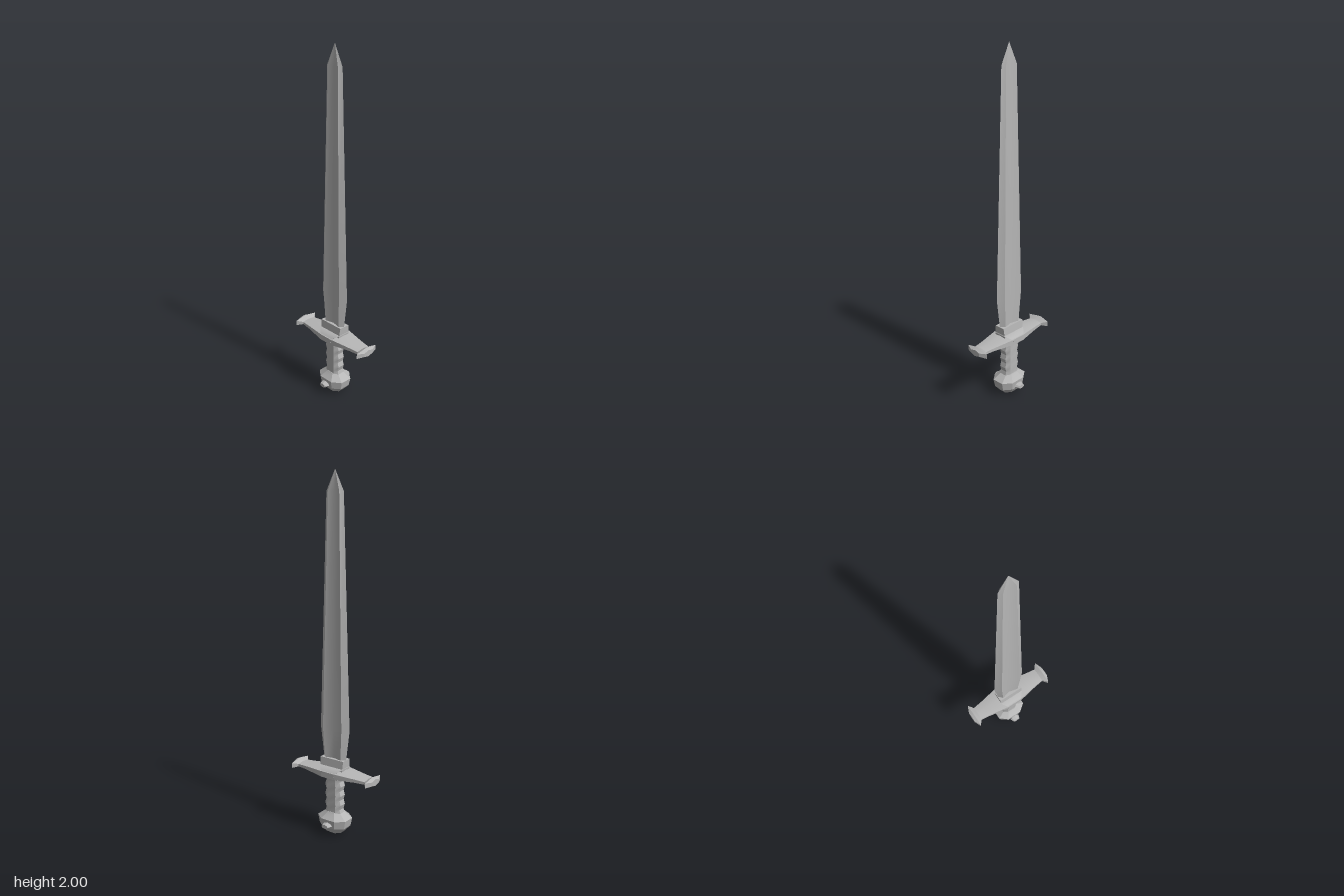
import * as THREE from 'three';
import { toCreasedNormals } from 'three/addons/utils/BufferGeometryUtils.js';

const steel = new THREE.MeshStandardMaterial({ color: 0xb6b6b6 });
steel.name = 'steel grey';

// Skin a list of equal-length rings (counterclockwise seen from the far end) and cap both ends
function loft(name, rings, crease = 0.6) {
  const pos = [];
  const tri = (...pts) => pts.forEach((p) => pos.push(...p));
  const n = rings[0].length;
  const centre = (ring) => [0, 1, 2].map((k) => ring.reduce((s, p) => s + p[k], 0) / n);
  const first = rings[0], last = rings[rings.length - 1];
  for (let i = 0; i < n; i++) {
    const j = (i + 1) % n;
    for (let r = 0; r < rings.length - 1; r++) {
      const a = rings[r], b = rings[r + 1];
      tri(a[i], a[j], b[j]);
      tri(a[i], b[j], b[i]);
    }
    tri(centre(first), first[j], first[i]);
    tri(centre(last), last[i], last[j]);
  }
  const geo = new THREE.BufferGeometry();
  geo.setAttribute('position', new THREE.Float32BufferAttribute(pos, 3));
  const mesh = new THREE.Mesh(toCreasedNormals(geo, crease), steel);
  mesh.name = name;
  return mesh;
}

// Horizontal cross-sections
const rect = (y, w, d) => [[w, y, d], [w, y, -d], [-w, y, -d], [-w, y, d]];
const octagon = (y, w, d, c = 0.48) => [
  [w, y, d * c], [w, y, -d * c], [w * c, y, -d], [-w * c, y, -d],
  [-w, y, -d * c], [-w, y, d * c], [-w * c, y, d], [w * c, y, d],
];
// Blade section: sharp edges, two ridges and a hollow centre on each face
const bladeRing = (y, edge, ridge, thick, hollow) => [
  [edge, y, 0], [ridge, y, -thick], [0, y, -hollow], [-ridge, y, -thick],
  [-edge, y, 0], [-ridge, y, thick], [0, y, hollow], [ridge, y, thick],
];

export function createModel() {
  const sword = new THREE.Group();
  sword.name = 'sword';

  sword.add(loft('blade', [
    bladeRing(0.41, 0.07, 0.05, 0.022, 0.01),
    bladeRing(0.62, 0.097, 0.062, 0.028, 0.012),
    bladeRing(1.89, 0.055, 0.036, 0.014, 0.007),
    bladeRing(2, 0.0005, 0.0003, 0.0003, 0.0002),
  ], 0.75));

  // Collar around the foot of the blade, spreading into the boss of the guard
  sword.add(loft('collar', [rect(0.39, 0.072, 0.037), rect(0.45, 0.077, 0.031)]));
  sword.add(loft('guardBoss', [
    rect(0.34, 0.05, 0.05), rect(0.352, 0.045, 0.073), rect(0.378, 0.042, 0.073),
    rect(0.39, 0.055, 0.062), rect(0.405, 0.077, 0.036),
  ]));

  // Crossguard stations: distance from middle, half depth, top, bottom
  const stations = [
    [0.04, 0.073, 0.397, 0.336], [0.17, 0.05, 0.383, 0.35], [0.225, 0.043, 0.379, 0.352],
    [0.25, 0.073, 0.394, 0.341], [0.268, 0.032, 0.386, 0.348],
  ];
  const guardRing = (x, w, top, bottom) => {
    const mid = (top + bottom) / 2, h = (top - bottom) * 0.27;
    return [[x, top, 0], [x, mid + h, w], [x, mid - h, w],
      [x, bottom, 0], [x, mid - h, -w], [x, mid + h, -w]];
  };
  sword.add(loft('crossguard', [
    ...[...stations].reverse().map(([x, ...s]) => guardRing(-x, ...s)),
    ...stations.map((s) => guardRing(...s)),
  ], 0.4));

  // Grip with finger swells on its narrow sides
  const grip = [];
  for (let i = 0; i <= 8; i++) {
    grip.push(octagon(0.125 + i * 0.0275, i % 2 ? 0.045 : 0.053, i % 2 ? 0.036 : 0.038, 0.55));
  }
  sword.add(loft('grip', grip, 0.4));

  sword.add(loft('pommel', [
    octagon(0.005, 0.03, 0.024), octagon(0.018, 0.055, 0.043), octagon(0.052, 0.084, 0.066),
    octagon(0.1, 0.094, 0.072), octagon(0.13, 0.053, 0.044), octagon(0.137, 0.045, 0.04),
  ], 0.3));

  // Studs on the front and back of the pommel
  for (const side of [1, -1]) {
    const geo = new THREE.CylinderGeometry(0.021, 0.031, 0.026, 8);
    geo.rotateX(side * Math.PI / 2).scale(1, 0.55, 1);
    const neck = new THREE.CylinderGeometry(0.022, 0.022, 0.03, 8);
    neck.rotateX(side * Math.PI / 2).scale(1, 0.55, 1);
    const stud = new THREE.Group();
    stud.name = side > 0 ? 'frontStud' : 'backStud';
    [[geo, 'studHead', 0.087], [neck, 'studNeck', 0.065]].forEach(([g, name, z]) => {
      const mesh = new THREE.Mesh(toCreasedNormals(g, 0.3), steel);
      mesh.name = name;
      mesh.position.set(0, 0.07, side * z);
      stud.add(mesh);
    });
    sword.add(stud);
  }
  return sword;
}
